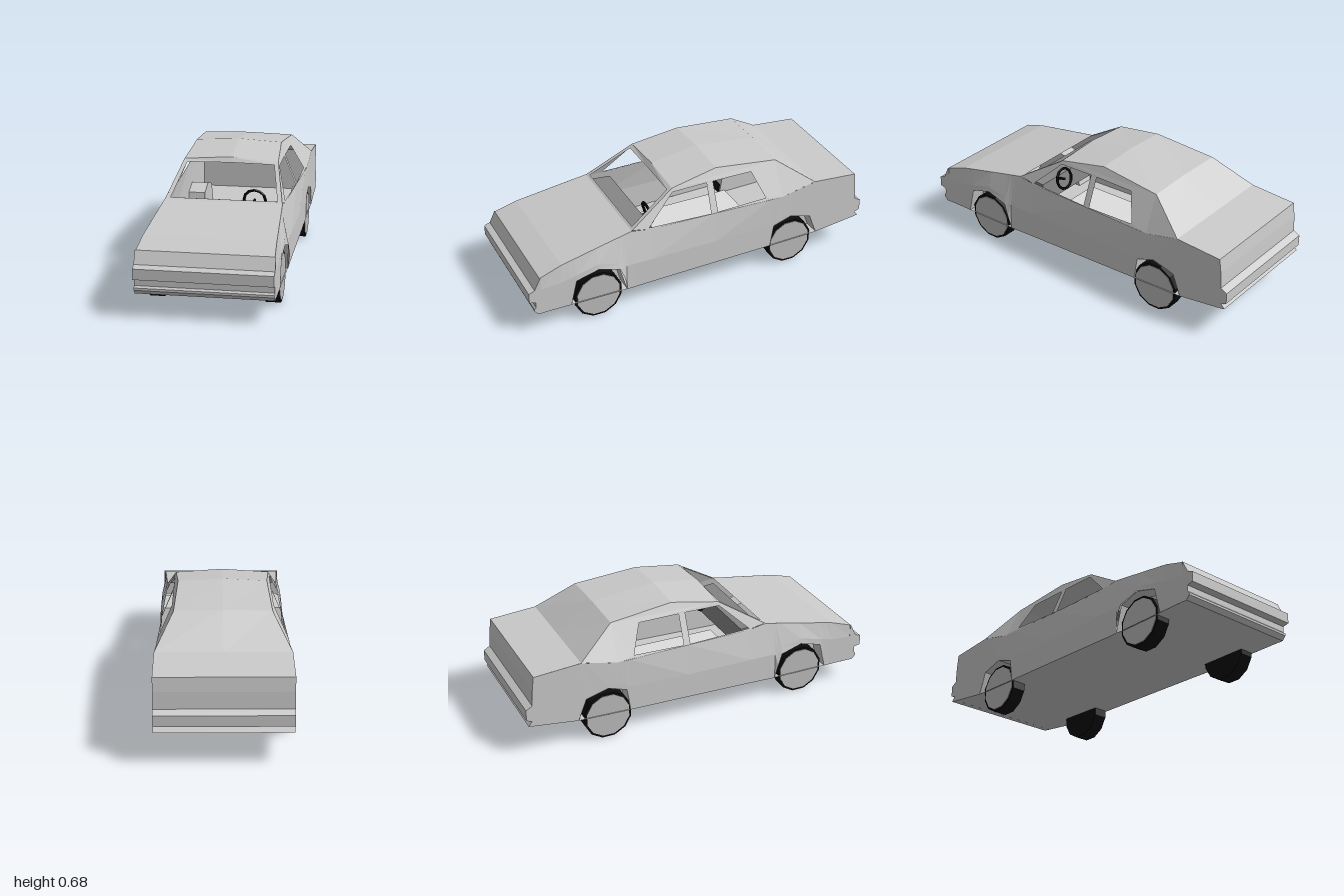
import * as THREE from 'three';

const paint = (name, color, extra = {}) => {
  const m = new THREE.MeshStandardMaterial({ color, flatShading: true, ...extra });
  m.name = name;
  return m;
};

// Skin of quads between successive rows of [x, y, z] points
function loft(rows) {
  const n = rows[0].length, index = [];
  for (let i = 0; i < rows.length - 1; i++) {
    for (let j = 0; j < n - 1; j++) {
      const a = i * n + j, b = a + n;
      index.push(a, b, a + 1, a + 1, b, b + 1);
    }
  }
  const g = new THREE.BufferGeometry();
  g.setAttribute('position', new THREE.Float32BufferAttribute(rows.flat(2), 3));
  g.setIndex(index);
  g.computeVertexNormals();
  return g;
}

// Half width of the body at the belt line, by z
const BELT = [[1, 0.35], [0.935, 0.347], [0.4, 0.315], [0, 0.328], [-0.45, 0.348], [-0.69, 0.352], [-1, 0.352]];
function beltX(z) {
  for (let i = 0; i < BELT.length - 1; i++) {
    const [z0, x0] = BELT[i], [z1, x1] = BELT[i + 1];
    if (z >= z1) return x0 + (x1 - x0) * (z0 - z) / (z0 - z1);
  }
  return 0.352;
}
// Cabin sides lean inward above the belt
const cabinX = (z, y) => THREE.MathUtils.lerp(beltX(z), 0.245, (y - 0.44) / 0.21);

const shapeOf = (pts) => new THREE.Shape(pts.map(([a, b]) => new THREE.Vector2(a, b)));

// Solid with a (z, y) profile, spanning x0 to x1
function slab(pts, x0, x1) {
  const g = new THREE.ExtrudeGeometry(shapeOf(pts), { depth: x1 - x0, bevelEnabled: false });
  return g.rotateY(-Math.PI / 2).translate(x1, 0, 0);
}

export function createModel() {
  const car = new THREE.Group();
  car.name = 'sedan';
  const body = paint('body grey', 0xcacaca, { side: THREE.DoubleSide });
  const hubGrey = paint('wheel grey', 0xbcbcbc);
  const black = paint('tyre black', 0x0c0c0c);
  const trim = paint('dashboard grey', 0x858585);
  const floorGrey = paint('cabin floor pale grey', 0xdedede);
  const add = (name, geometry, material, parent = car) => {
    const m = new THREE.Mesh(geometry, material);
    m.name = name;
    parent.add(m);
    return m;
  };

  // Bonnet
  add('bonnet', loft([[0.935, 0.34], [0.81, 0.38], [0.4, 0.455]].map(([z, y]) =>
    [[beltX(z), y, z], [-beltX(z), y, z]])), body);

  // Roof with a slight central crown
  const roofRows = [[0.14, 0.617, 0.018], [-0.13, 0.663, 0.013], [-0.485, 0.628, 0.007]]
    .map(([z, y, c]) => {
      const x = cabinX(z, y);
      return [[x, y, z], [0, y + c, z], [-x, y, z]];
    });
  add('roof', loft(roofRows), body);

  // Rear slope and boot lid
  add('rearSlope', loft([roofRows[2], [[0.352, 0.485, -0.69], [0, 0.485, -0.69], [-0.352, 0.485, -0.69]]]), body);
  add('bootLid', loft([-0.69, -0.95].map((z, i) =>
    [[0.352, 0.485 - i * 0.02, z], [-0.352, 0.485 - i * 0.02, z]])), body);

  // Windscreen surround
  const ring = (xb, yb, zb, xt, yt, zt) => {
    const p = [[xb, yb, zb], [xt, yt, zt], [0, yt + (xt > 0.25 ? 0.018 : 0.004), zt], [-xt, yt, zt], [-xb, yb, zb]];
    return [...p, p[0]];
  };
  add('windscreenFrame', loft([
    ring(0.314, 0.455, 0.4, cabinX(0.14, 0.617), 0.617, 0.14),
    ring(0.286, 0.463, 0.387, 0.238, 0.604, 0.16),
  ]), body);

  // Nose with bumper, and tail with bumper
  add('nose', slab([[0.93, 0.12], [0.955, 0.12], [0.975, 0.143], [0.975, 0.155], [0.965, 0.165], [0.965, 0.198],
    [1, 0.206], [1, 0.262], [0.967, 0.275], [0.935, 0.34], [0.93, 0.34]], -0.352, 0.352), body);
  add('tail', slab([[-0.945, 0.175], [-0.99, 0.182], [-0.97, 0.208], [-1, 0.22], [-1, 0.28], [-0.965, 0.3],
    [-0.96, 0.39], [-0.95, 0.465], [-0.945, 0.465]], -0.352, 0.352), body);

  // Underside
  add('underside', loft([[0.95, 0.121], [0.45, 0.12], [-0.42, 0.138], [-0.715, 0.146], [-0.95, 0.176]]
    .map(([z, y]) => [[-0.352, y, z], [0.352, y, z]])), body);

  // Lower flank stations: z, lower edge, crease height, belt height, lower edge half width
  const stations = [
    [0.935, 0.121, 0.27, 0.34, 0.352], [0.81, 0.121, 0.28, 0.38, 0.352], [0.77, 0.121, 0.29, 0.387, 0.353],
    [0.735, 0.265, 0.3, 0.394, 0.354], [0.61, 0.3, 0.33, 0.417, 0.356], [0.49, 0.265, 0.3, 0.439, 0.36],
    [0.465, 0.2, 0.28, 0.443, 0.365], [0.45, 0.12, 0.27, 0.446, 0.354], [0.4, 0.12, 0.27, 0.455, 0.352],
    [0.3, 0.123, 0.27, 0.44, 0.352], [-0.08, 0.131, 0.27, 0.44, 0.352], [-0.42, 0.138, 0.28, 0.44, 0.352],
    [-0.44, 0.265, 0.3, 0.44, 0.352], [-0.49, 0.283, 0.31, 0.44, 0.352], [-0.545, 0.3, 0.32, 0.452, 0.352],
    [-0.67, 0.265, 0.3, 0.48, 0.352], [-0.69, 0.21, 0.29, 0.485, 0.352], [-0.715, 0.146, 0.28, 0.483, 0.352],
    [-0.95, 0.176, 0.3, 0.465, 0.352],
  ];
  const flank = loft(stations.map(([z, yb, ym, yt, xb]) =>
    [[xb, yb, z], [0.352, ym, z], [beltX(z), yt, z]]).reverse());

  // Cabin side with window openings, leaned inward
  const sideShape = shapeOf([[0.4, 0.455], [0.14, 0.617], [-0.13, 0.663], [-0.485, 0.628], [-0.49, 0.44], [0.3, 0.44]]);
  sideShape.holes.push(
    shapeOf([[0.3, 0.447], [0.14, 0.597], [-0.062, 0.6], [-0.06, 0.442]]),
    shapeOf([[-0.1, 0.443], [-0.1, 0.6], [-0.33, 0.6], [-0.39, 0.455]]));
  const cabinSide = new THREE.ShapeGeometry(sideShape);
  const pos = cabinSide.attributes.position;
  for (let i = 0; i < pos.count; i++) {
    const z = pos.getX(i), y = pos.getY(i);
    pos.setXYZ(i, cabinX(z, y), y, z);
  }
  const idx = cabinSide.index.array; // swap corners so faces point outward
  for (let i = 0; i < idx.length; i += 3) [idx[i], idx[i + 1]] = [idx[i + 1], idx[i]];
  cabinSide.computeVertexNormals();

  // Triangular rear pillar
  const pillar = new THREE.BufferGeometry();
  pillar.setAttribute('position', new THREE.Float32BufferAttribute([
    beltX(-0.49), 0.44, -0.49, 0.352, 0.485, -0.69, cabinX(-0.485, 0.628), 0.628, -0.485], 3));
  pillar.computeVertexNormals();

  // Wheel housing outlines in (z, y)
  const arches = [
    [[0.77, 0.122], [0.735, 0.265], [0.61, 0.3], [0.49, 0.265], [0.45, 0.122]],
    [[-0.42, 0.14], [-0.44, 0.265], [-0.545, 0.3], [-0.67, 0.265], [-0.715, 0.148]],
  ];

  for (const s of [1, -1]) {
    const side = new THREE.Group();
    side.name = s > 0 ? 'leftSide' : 'rightSide';
    side.scale.x = s;
    car.add(side);
    add('flank', flank, body, side);
    add('cabinSide', cabinSide, body, side);
    add('rearPillar', pillar, body, side);
    arches.forEach((a, i) => {
      const name = i ? 'rear' : 'front';
      add(name + 'WheelHousing', slab(a, 0.255, 0.262), body, side);
      add(name + 'ArchLining', loft([0.26, 0.354].map((x) => a.map(([z, y]) => [x, y, z]))), body, side);
    });
    // Twelve-sided wheels standing on a flat
    for (const z of [0.612, -0.547]) {
      const wheel = new THREE.Group();
      wheel.name = z > 0 ? 'frontWheel' : 'rearWheel';
      wheel.position.set(0.304, 0.132, z);
      side.add(wheel);
      const disc = (r, w) => new THREE.CylinderGeometry(r, r, w, 12).rotateY(Math.PI / 12).rotateZ(Math.PI / 2);
      add('tyre', disc(0.1365, 0.078), black, wheel);
      add('wheelDisc', disc(0.124, 0.006), hubGrey, wheel).position.x = 0.039;
    }
  }

  // Cabin floor, dashboard and steering wheel
  add('cabinFloor', new THREE.BoxGeometry(0.5, 0.008, 0.8), floorGrey).position.set(0, 0.15, -0.05);
  add('dashboard', slab([[0.26, 0.32], [0.38, 0.3], [0.38, 0.44], [0.27, 0.43]], -0.28, 0.28), trim);
  const steering = add('steeringWheel', new THREE.TorusGeometry(0.058, 0.008, 6, 12), black);
  steering.position.set(0.143, 0.425, 0.23);
  steering.rotation.x = 0.25;
  const column = add('steeringColumn', new THREE.CylinderGeometry(0.008, 0.008, 0.07, 6).rotateX(Math.PI / 2), black);
  column.position.set(0.143, 0.415, 0.26);
  column.rotation.x = 0.25;

  return car;
}
